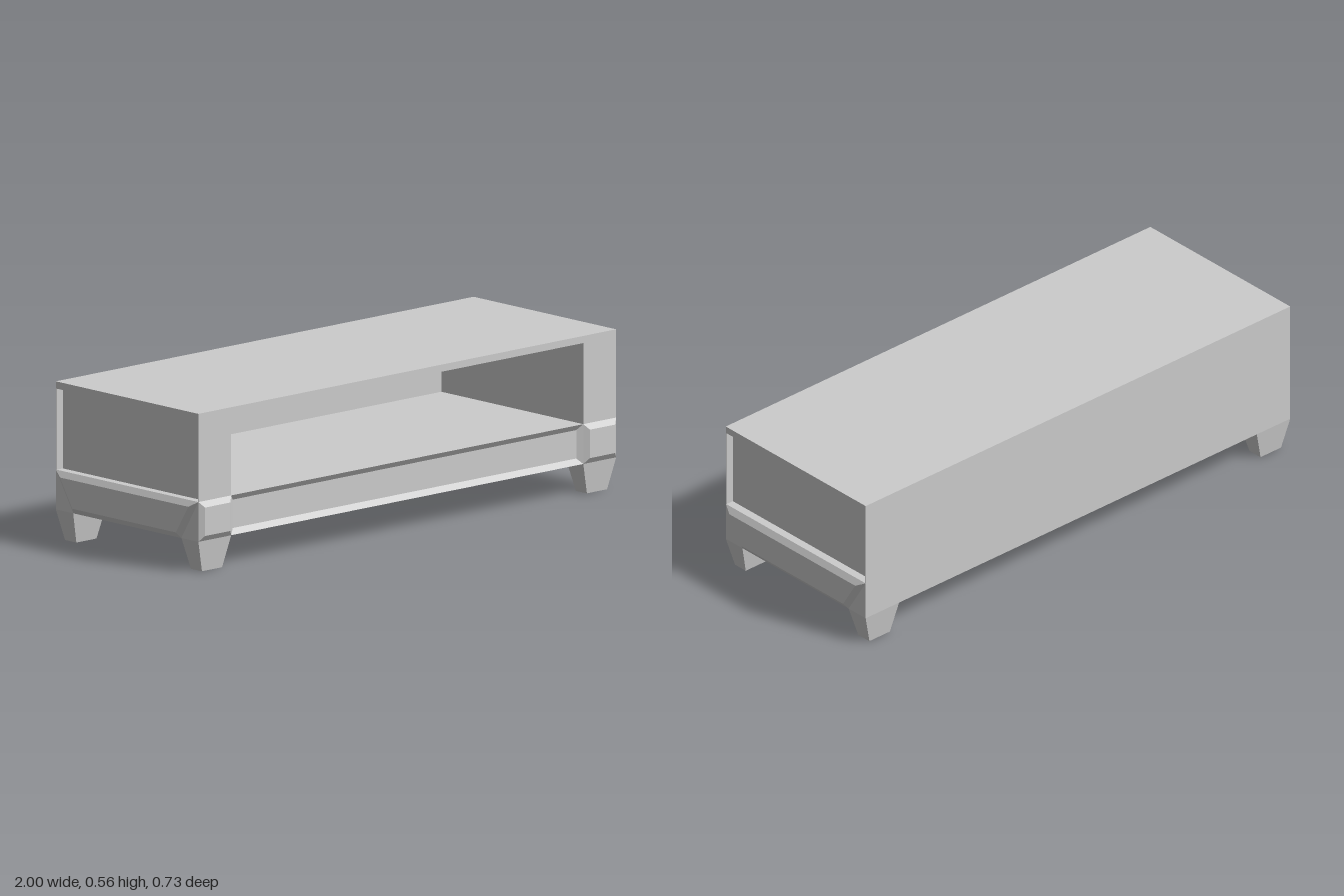
import * as THREE from 'three';

const material = new THREE.MeshStandardMaterial({ color: 0xcccccc, flatShading: true });

// Overall positions
const X = 0.985, BACK = -0.364, FRONT = 0.35;
const Y0 = 0.11, Y1 = 0.25, Y2 = 0.535, Y3 = 0.56;
const OPEN = 0.83, WALL = 0.955, SHEET = 0.003;

// Joins a chain of four-cornered loops and caps both ends
function loft(name, loops) {
  const pos = [];
  const quad = (a, b, c, d) => pos.push(...a, ...b, ...c, ...a, ...c, ...d);
  for (let k = 0; k < loops.length - 1; k++) {
    const a = loops[k], b = loops[k + 1];
    for (let i = 0; i < 4; i++) {
      const j = (i + 1) % 4;
      quad(a[i], a[j], b[j], b[i]);
    }
  }
  quad(...[...loops[0]].reverse());
  quad(...loops[loops.length - 1]);
  const geometry = new THREE.BufferGeometry();
  geometry.setAttribute('position', new THREE.Float32BufferAttribute(pos, 3));
  geometry.computeVertexNormals();
  const mesh = new THREE.Mesh(geometry, material);
  mesh.name = name;
  return mesh;
}

// Rectangles facing +z and +y
const rectZ = (z, x0, x1, y0, y1) => [[x0, y0, z], [x1, y0, z], [x1, y1, z], [x0, y1, z]];
const rectY = (y, x0, x1, z0, z1) => [[x0, y, z1], [x1, y, z1], [x1, y, z0], [x0, y, z0]];

// Mirrors loops across x = 0, keeping them facing outwards
const mirror = (loops) => loops.map((l) => l.map(([x, y, z]) => [-x, y, z]).reverse());

function box(name, x0, x1, y0, y1, z0, z1) {
  const mesh = new THREE.Mesh(new THREE.BoxGeometry(x1 - x0, y1 - y0, z1 - z0), material);
  mesh.position.set((x0 + x1) / 2, (y0 + y1) / 2, (z0 + z1) / 2);
  mesh.name = name;
  return mesh;
}

export function createModel() {
  const model = new THREE.Group();
  model.name = 'lowCabinet';

  // Base band with a bevelled sunken front between the corners
  model.add(loft('base', [
    rectZ(BACK, -X, X, Y0, Y1),
    rectZ(FRONT, -X, X, Y0, Y1),
    rectZ(FRONT, -OPEN, OPEN, Y0, Y1),
    rectZ(FRONT - 0.014, -0.81, 0.81, 0.13, 0.23),
  ]));

  // Top board and thin back sheet
  model.add(box('topBoard', -X, X, Y2, Y3, BACK, FRONT));
  model.add(box('backPanel', -X, X, Y1, Y2, BACK, BACK + SHEET));

  // Bevelled trapezoid on the side of the base
  const sidePanel = [
    [[X, Y0, 0.265], [X, Y0, -0.277], [X, Y1, BACK], [X, Y1, FRONT]],
    [[1, 0.13, 0.253], [1, 0.13, -0.265], [1, 0.23, -0.327], [1, 0.23, 0.315]],
  ];

  // Bevelled block on the front corner
  const cornerBlock = [
    rectZ(FRONT, OPEN, X, Y0, Y1),
    rectZ(0.364, 0.848, 0.967, 0.13, 0.23),
  ];

  // Tapered legs
  const frontLeg = [rectY(0, 0.86, 0.955, 0.281, 0.336), rectY(Y0, OPEN, X, 0.265, FRONT)];
  const backLeg = [rectY(0, 0.86, 0.955, -0.35, -0.293), rectY(Y0, OPEN, X, BACK, -0.277)];

  for (const side of ['left', 'right']) {
    const s = side === 'left' ? 1 : -1;
    const place = (loops) => (s > 0 ? loops : mirror(loops));
    const span = (a, b) => (s > 0 ? [a, b] : [-b, -a]);

    // Side wall set back behind the front and back sheets
    model.add(box(side + 'Wall', ...span(OPEN, WALL), Y1, Y2, BACK + SHEET, FRONT));
    model.add(box(side + 'FrontEdge', ...span(WALL, X), Y1, Y2, FRONT - SHEET, FRONT));

    model.add(loft(side + 'SidePanel', place(sidePanel)));
    model.add(loft(side + 'CornerBlock', place(cornerBlock)));
    model.add(loft(side + 'FrontLeg', place(frontLeg)));
    model.add(loft(side + 'BackLeg', place(backLeg)));
  }
  return model;
}
